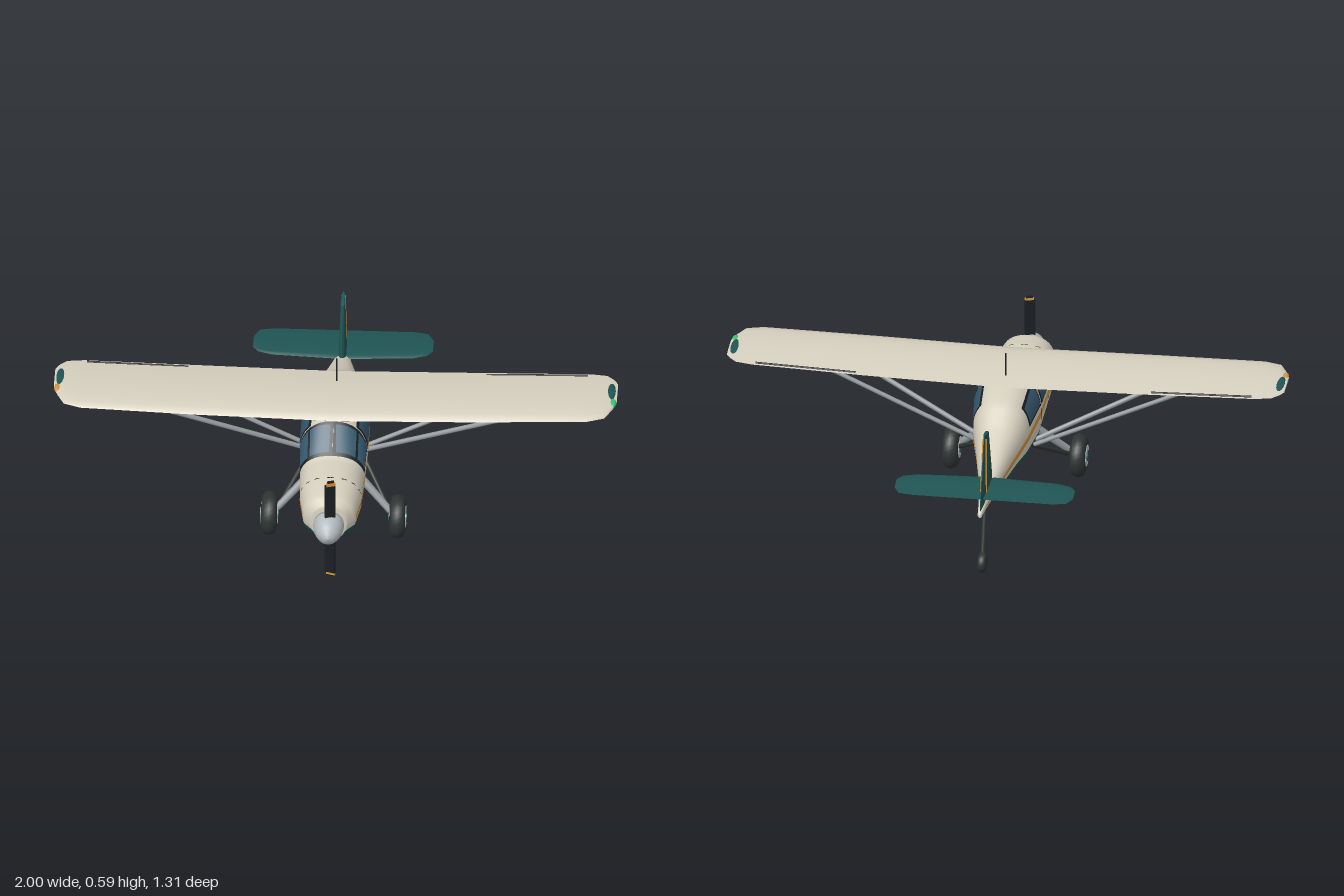
import * as THREE from 'three';
import { toCreasedNormals } from 'three/addons/utils/BufferGeometryUtils.js';

const mat = (name, color, side = THREE.FrontSide) => {
  const m = new THREE.MeshStandardMaterial({ color, side });
  m.name = name;
  return m;
};

// Fuselage stations: z, bottom, top, half width, green line, stripe bottom, stripe top
const STATIONS = [
  [0.555, 0.225, 0.36, 0.06, 0.262, 0.283, 0.303],
  [0.51, 0.207, 0.383, 0.095, 0.262, 0.283, 0.303],
  [0.415, 0.197, 0.395, 0.11, 0.26, 0.283, 0.303],
  [0.29, 0.194, 0.398, 0.115, 0.26, 0.286, 0.308],
  [0.2, 0.182, 0.482, 0.12, 0.263, 0.315, 0.338],
  [0.02, 0.172, 0.486, 0.12, 0.255, 0.32, 0.345],
  [-0.15, 0.185, 0.453, 0.1, 0.262, 0.305, 0.326],
  [-0.25, 0.2, 0.39, 0.075, 0.263, 0.283, 0.304],
  [-0.45, 0.228, 0.308, 0.033, 0.252, 0.262, 0.274],
  [-0.6, 0.243, 0.277, 0.014, 0.256, 0.262, 0.267],
  [-0.655, 0.248, 0.27, 0.008, 0.256, 0.261, 0.265],
];

function stationAt(z) {
  let i = 0;
  while (i < STATIONS.length - 2 && z < STATIONS[i + 1][0]) i++;
  const a = STATIONS[i], b = STATIONS[i + 1], t = (z - a[0]) / (b[0] - a[0]);
  return a.map((v, k) => v + (b[k] - v) * t);
}

const E = 0.85; // roundness of the cross-section
const soft = (v, e) => Math.sign(v) * Math.abs(v) ** e;

// Point on the skin at a station and angle; grow pushes it outward
function skin(z, angle, grow = 0) {
  const [, lo, hi, w] = stationAt(z), k = 1 + grow;
  return [w * k * soft(Math.cos(angle), E), (lo + hi) / 2 + ((hi - lo) / 2) * k * soft(Math.sin(angle), E), z];
}

function angleAt(z, y) {
  const [, lo, hi] = stationAt(z);
  const s = THREE.MathUtils.clamp((2 * y - lo - hi) / (hi - lo), -1, 1);
  return Math.asin(soft(s, 1 / E));
}

function buffer(pos, idx) {
  const g = new THREE.BufferGeometry();
  g.setAttribute('position', new THREE.Float32BufferAttribute(pos, 3));
  g.setIndex(idx);
  return g;
}

// Lofted body; material groups: 0 cream, 1 green, 2 stripe
function fuselageGeometry() {
  const zs = [], SUB = [8, 2, 3, 12], BAND = [1, 0, 2, 0];
  STATIONS.slice(1).forEach((s, i) => {
    for (let k = 0; k < 4; k++) zs.push(THREE.MathUtils.lerp(STATIONS[i][0], s[0], k / 4));
  });
  zs.push(-0.655);
  const pos = [], bands = SUB.flatMap((n, b) => Array(n).fill(BAND[b]));
  const ringBands = [...bands, ...bands.slice().reverse()], n = ringBands.length;
  for (const z of zs) {
    const cuts = [-Math.PI / 2, ...stationAt(z).slice(4).map((y) => angleAt(z, y)), Math.PI / 2];
    const half = SUB.flatMap((c, b) => Array.from({ length: c }, (_, k) => cuts[b] + ((cuts[b + 1] - cuts[b]) * k) / c));
    half.push(Math.PI / 2);
    const mirrored = half.slice(1).reverse().map((a) => Math.PI - a);
    for (const a of [...half.slice(0, -1), ...mirrored]) pos.push(...skin(z, a));
  }
  const lists = [[], [], []];
  for (let i = 0; i < zs.length - 1; i++) {
    for (let j = 0; j < n; j++) {
      const a = i * n + j, b = i * n + ((j + 1) % n);
      let band = ringBands[j];
      if (band === 2 && (zs[i] > 0.515 || zs[i] < -0.59)) band = 0;
      lists[band].push(a, a + n, b, b, a + n, b + n);
    }
  }
  // nose and tail caps
  for (let j = 1; j < n - 1; j++) {
    const e = (zs.length - 1) * n;
    lists[0].push(0, j, j + 1, e, e + j + 1, e + j);
  }
  const g = buffer(pos, lists.flat());
  let start = 0;
  lists.forEach((l, m) => { g.addGroup(start, l.length, m); start += l.length; });
  g.computeVertexNormals();
  return g;
}

// Thin panel lying on the skin between two z values, with angle limits at each
function skinPatch(z0, z1, low0, high0, low1, high1, side, grow) {
  const N = 8, pos = [], idx = [];
  for (let i = 0; i <= N; i++) {
    for (let j = 0; j <= N; j++) {
      const t = i / N, lo = low0 + (low1 - low0) * t, hi = high0 + (high1 - high0) * t;
      const p = skin(z0 + (z1 - z0) * t, lo + ((hi - lo) * j) / N, grow);
      pos.push(p[0] * side, p[1], p[2]);
      if (i < N && j < N) {
        const a = i * (N + 1) + j, b = a + N + 1;
        idx.push(...(side > 0 ? [a, b, a + 1, a + 1, b, b + 1] : [a, a + 1, b, a + 1, b + 1, b]));
      }
    }
  }
  const g = buffer(pos, idx);
  g.computeVertexNormals();
  return g;
}

// Aerofoil loft along x; stations: x, leading z, trailing z, mid y, thickness
function foilGeometry(stations, camber = 0.5) {
  const H = 10, n = 2 * H, pos = [], idx = [];
  for (const [x, lead, trail, y, thick] of stations) {
    for (let j = 0; j < n; j++) {
      const u = (1 + Math.cos((j / H) * Math.PI)) / 2;
      const t = (Math.sqrt(u) * (1 - u)) / 0.385 + 0.08;
      pos.push(x, y + thick * t * (j <= H ? camber : camber - 1), lead + (trail - lead) * u);
    }
  }
  const e = (stations.length - 1) * n;
  for (let a = 0; a < e; a++) {
    const b = a % n === n - 1 ? a - n + 1 : a + 1;
    idx.push(a, b, a + n, b, b + n, a + n);
  }
  for (let j = 1; j < n - 1; j++) idx.push(0, j + 1, j, e, e + j, e + j + 1);
  return toCreasedNormals(buffer(pos, idx), 0.7);
}

const mirrorSpan = (half) => [...half.slice().reverse().map(([x, ...r]) => [-x, ...r]), ...half];

export function createModel() {
  const model = new THREE.Group();
  const cream = mat('cream paint', 0xd6d0bf), green = mat('dark green paint', 0x1f5553);
  const orange = mat('orange paint', 0xd8933a), glass = mat('window glass', 0x35586e, THREE.DoubleSide);
  const black = mat('black trim', 0x1b1f22, THREE.DoubleSide), rubber = mat('rubber', 0x303534);
  const metal = mat('strut metal', 0x93989a), silver = mat('spinner silver', 0xb4bcbf);
  const lamp = mat('green lamp', 0x2fc878);

  const add = (name, geo, material, x = 0, y = 0, z = 0) => {
    const m = new THREE.Mesh(geo, material);
    m.name = name;
    m.position.set(x, y, z);
    model.add(m);
    return m;
  };
  const rod = (name, from, to, r, material, r2 = r) => {
    const a = new THREE.Vector3(...from), b = new THREE.Vector3(...to), d = b.clone().sub(a);
    const m = add(name, new THREE.CylinderGeometry(r2, r, d.length(), 12), material);
    m.position.copy(a).add(b).multiplyScalar(0.5);
    m.quaternion.setFromUnitVectors(new THREE.Vector3(0, 1, 0), d.normalize());
    return m;
  };
  const ellipsoid = (name, material, x, y, z, sx, sy, sz) =>
    add(name, new THREE.SphereGeometry(1, 20, 12), material, x, y, z).scale.set(sx, sy, sz);

  add('fuselage', fuselageGeometry(), [cream, green, orange]);

  // Wing, tailplane and fin
  add('wing', foilGeometry(mirrorSpan([
    [0, 0.2, -0.105, 0.486, 0.03], [0.5, 0.198, -0.104, 0.496, 0.028], [0.9, 0.19, -0.1, 0.507, 0.02],
    [0.96, 0.17, -0.09, 0.509, 0.016], [0.985, 0.12, -0.065, 0.51, 0.012], [1, 0.08, -0.04, 0.51, 0.008],
  ]), 0.72), cream);
  add('tailplane', foilGeometry(mirrorSpan([
    [0, -0.44, -0.615, 0.3, 0.016], [0.25, -0.455, -0.615, 0.3, 0.014],
    [0.3, -0.472, -0.605, 0.3, 0.011], [0.32, -0.5, -0.565, 0.3, 0.007],
  ])), green);
  add('fin', foilGeometry([
    [0.26, -0.39, -0.655, 0, 0.028], [0.505, -0.477, -0.552, 0, 0.016], [0.52, -0.535, -0.546, 0, 0.008],
  ]), green).rotation.z = Math.PI / 2;

  // Spinner and two-bladed propeller
  const spin = [[0, 0.105], [0.018, 0.1], [0.037, 0.082], [0.05, 0.052], [0.055, 0.02], [0.053, 0], [0, 0]];
  add('spinner', new THREE.LatheGeometry(spin.map((p) => new THREE.Vector2(...p)).reverse(), 28), silver, 0, 0.295, 0.55)
    .rotation.x = Math.PI / 2;
  for (const s of [1, -1]) {
    const blade = add('propellerBlade', new THREE.BoxGeometry(0.038, 0.17, 0.008), black, 0.006, 0.295 + s * 0.105, 0.585);
    const tip = add('propellerTip', new THREE.BoxGeometry(0.032, 0.014, 0.0085), orange, 0.008, 0.295 + s * 0.192, 0.585);
    const end = add('propellerEnd', new THREE.BoxGeometry(0.024, 0.01, 0.008), black, 0.008, 0.295 + s * 0.2, 0.585);
    for (const m of [blade, tip, end]) m.rotation.y = s * 0.3;
  }

  // Roof aerial and tailwheel
  rod('aerial', [0, 0.49, -0.03], [0, 0.59, -0.038], 0.003, black);
  rod('tailwheelLeg', [0, 0.245, -0.53], [0, 0.045, -0.594], 0.008, rubber);
  const wheel = (name, r, w, x, y, z) => {
    const c = r * 0.3, pts = [[0, -w], [r - c, -w], [r - c * 0.3, -w * 0.7], [r, 0], [r - c * 0.3, w * 0.7], [r - c, w], [0, w]];
    add(name, new THREE.LatheGeometry(pts.map((p) => new THREE.Vector2(...p)), 32), rubber, x, y, z).rotation.z = Math.PI / 2;
  };
  wheel('tailwheel', 0.037, 0.015, 0, 0.04, -0.595);

  for (const s of [1, -1]) {
    // Windows: z, low y, high y at front edge, then at rear edge
    const pane = (name, z0, l0, h0, z1, l1, h1) => {
      const m = 0.008;
      const a = (z, y) => angleAt(z, y);
      add(name + 'Frame', skinPatch(z0 + m, z1 - m, a(z0 + m, l0 - m), a(z0 + m, h0 + m), a(z1 - m, l1 - m), a(z1 - m, h1 + m), s, 0.02), black);
      add(name, skinPatch(z0, z1, a(z0, l0), a(z0, h0), a(z1, l1), a(z1, h1), s, 0.035), glass);
    };
    pane('frontSideWindow', 0.183, 0.37, 0.447, 0.027, 0.374, 0.45);
    pane('rearSideWindow', 0.0, 0.375, 0.447, -0.132, 0.362, 0.418);

    // Wrap-around windscreen, two panes per side
    const low = [angleAt(0.283, 0.338), angleAt(0.208, 0.38)];
    add('windscreenFrame', skinPatch(0.29, 0.198, low[0] - 0.07, 1.57, low[1] - 0.06, 1.57, s, 0.02), black);
    add('windscreenSidePane', skinPatch(0.281, 0.208, low[0], 0.78, low[1], 0.82, s, 0.035), glass);
    add('windscreenFrontPane', skinPatch(0.281, 0.208, 0.88, 1.5, 0.9, 1.52, s, 0.035), glass);

    // Panel seams: cowling ring and door outline
    const seam = (name, z0, z1, y0, y1) => {
      const a0 = angleAt(z0, y0), a1 = angleAt(z0, y1);
      add(name, skinPatch(z0, z1, a0, a1, angleAt(z1, y0), angleAt(z1, y1), s, 0.012), black);
    };
    seam('cowlingSeam', 0.417, 0.413, 0.1, 0.5);
    seam('doorFrontSeam', 0.191, 0.188, 0.25, 0.36);
    seam('doorRearSeam', 0.015, 0.012, 0.25, 0.44);
    seam('doorBottomSeam', 0.191, 0.012, 0.248, 0.251);
    for (let i = 0; i < 6; i++) seam('coolingVent', 0.408 - i * 0.013, 0.404 - i * 0.013, 0.319, 0.323);

    // Wing tip fairing, navigation lamp and aileron gap
    ellipsoid('wingTipFairing', green, s * 0.978, 0.512, 0.03, 0.019, 0.009, 0.07);
    ellipsoid('navigationLamp', s > 0 ? lamp : orange, s * 0.987, 0.513, 0.08, 0.012, 0.009, 0.024);
    rod('aileronGap', [s * 0.53, 0.5, -0.09], [s * 0.89, 0.51, -0.088], 0.004, black);

    // Rudder hinge stripe
    const stripe = add('rudderStripe', new THREE.BoxGeometry(0.004, 0.2, 0.006), orange, s * 0.0075, 0.405, -0.555);
    stripe.rotation.set(0.13, 0, s * 0.02);

    // Wing struts
    rod('frontWingStrut', [s * 0.1, 0.23, 0.01], [s * 0.67, 0.495, 0.14], 0.009, metal);
    rod('rearWingStrut', [s * 0.1, 0.225, -0.02], [s * 0.67, 0.5, -0.04], 0.008, metal);

    // Main gear and exhaust
    rod('gearLeg', [s * 0.075, 0.22, 0.13], [s * 0.215, 0.085, 0.2], 0.016, metal, 0.012);
    rod('gearBrace', [s * 0.08, 0.225, -0.02], [s * 0.2, 0.09, 0.185], 0.008, rubber);
    wheel('mainWheel', 0.08, 0.028, s * 0.228, 0.08, 0.2);
    for (const [name, r, w, m] of [['wheelHub', 0.039, 0.06, silver], ['hubCap', 0.02, 0.066, green]]) {
      add(name, new THREE.CylinderGeometry(r, r, w, 24), m, s * 0.228, 0.08, 0.2).rotation.z = Math.PI / 2;
    }
    rod('exhaustPipe', [s * 0.05, 0.225, 0.385], [s * 0.055, 0.187, 0.355], 0.012, rubber);
  }
  return model;
}
